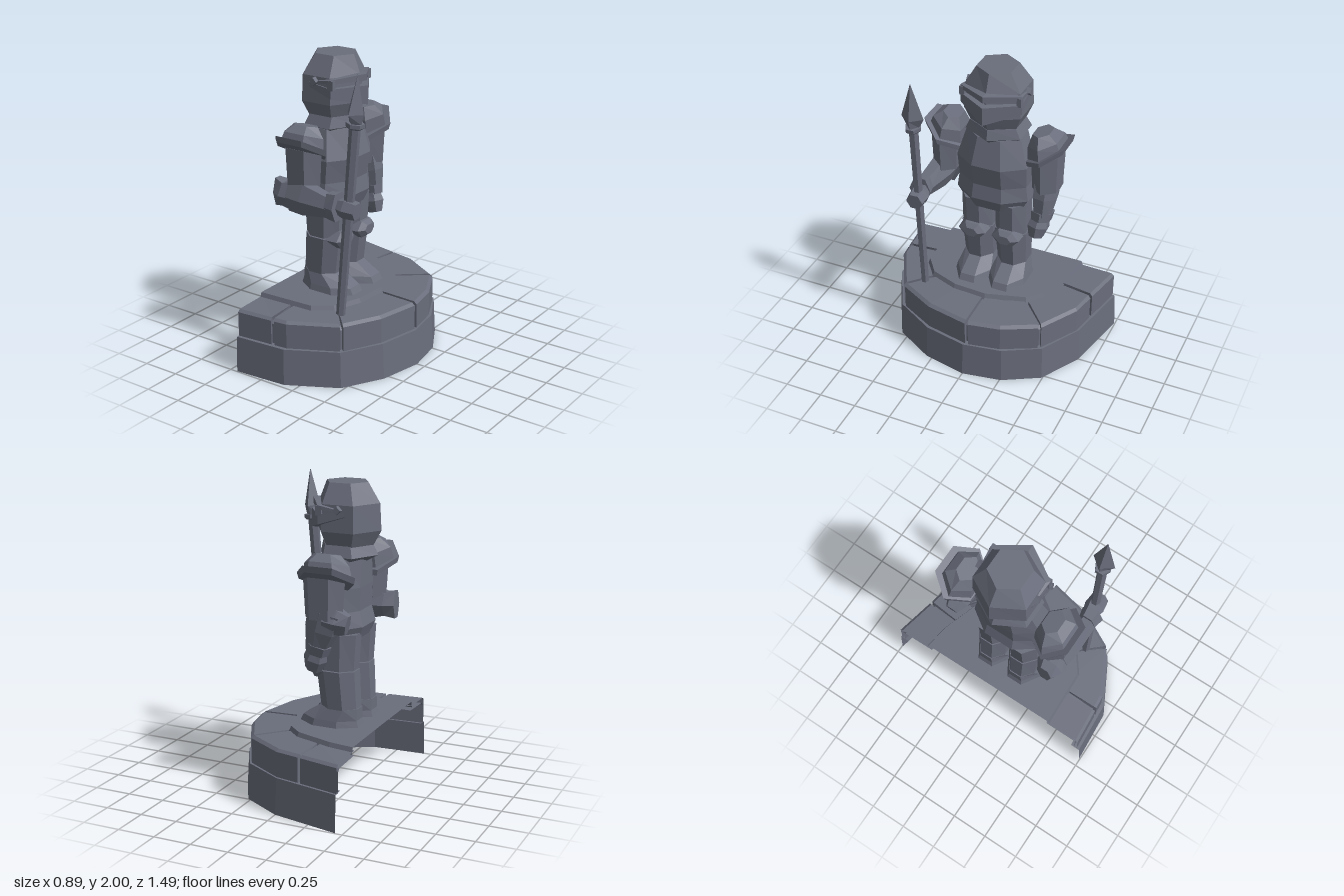
import * as THREE from 'three';

const stone = new THREE.MeshStandardMaterial({ color: 0x6a6e7c, flatShading: true, side: THREE.DoubleSide });
stone.name = 'slate stone';

// Flat faced skin over columns of points
function grid(cols) {
  const pos = [];
  const tri = (...t) => {
    const [a, b, c] = t;
    if (a.distanceTo(b) < 1e-5 || b.distanceTo(c) < 1e-5 || a.distanceTo(c) < 1e-5) return;
    t.forEach(p => pos.push(p.x, p.y, p.z));
  };
  for (let i = 0; i < cols.length - 1; i++) {
    for (let j = 0; j < cols[i].length - 1; j++) {
      const a = cols[i][j], b = cols[i][j + 1], c = cols[i + 1][j + 1], d = cols[i + 1][j];
      tri(a, b, c);
      tri(a, c, d);
    }
  }
  const g = new THREE.BufferGeometry();
  g.setAttribute('position', new THREE.Float32BufferAttribute(pos, 3));
  g.computeVertexNormals();
  return g;
}

const V = (x, y, z) => new THREE.Vector3(x, y, z);

function add(group, name, geometry) {
  const m = new THREE.Mesh(geometry, stone);
  m.name = name;
  group.add(m);
  return m;
}

// Unit polygon that fills -1..1 both ways
function polygon(n, turned) {
  const pts = [];
  for (let i = 0; i <= n; i++) {
    const a = ((i % n) + (turned ? 0.5 : 0)) * Math.PI * 2 / n;
    pts.push([Math.cos(a), Math.sin(a)]);
  }
  const mx = Math.max(...pts.map(p => Math.abs(p[0]))), mz = Math.max(...pts.map(p => Math.abs(p[1])));
  return pts.map(p => [p[0] / mx, p[1] / mz]);
}

// Upright solid through rings [x, y, z, half x, half z, tilt], lowest first
function loft(rings, n = 6, turned = false) {
  const first = rings[0], last = rings[rings.length - 1];
  return grid(polygon(n, turned).map(([c, s]) => [
    V(first[0], first[1], first[2]),
    ...rings.map(([x, y, z, rx, rz, tilt = 0]) => V(x + c * rx, y + s * rz * tilt, z + s * rz)),
    V(last[0], last[1], last[2])
  ]));
}

// Solid along the line a-b through rings [t, half width, half height]
function limb(a, b, rings, n = 6, turned = false) {
  const A = V(...a), B = V(...b), d = B.clone().sub(A).normalize();
  const u = d.clone().cross(V(0, 1, 0)).normalize();
  const v = u.clone().cross(d);
  const at = t => A.clone().lerp(B, t);
  return grid(polygon(n, turned).map(([c, s]) => [
    at(rings[0][0]),
    ...rings.map(([t, ru, rv = ru]) => at(t).addScaledVector(u, c * ru).addScaledVector(v, s * rv)),
    at(rings[rings.length - 1][0])
  ]));
}

// Half round base, open at the back and underneath
function buildBase() {
  const base = new THREE.Group();
  base.name = 'base';

  const foot = [[-.45, -.745], [0, -.65], [.27, -.495], [.4, -.26], [.443, 0], [.38, .29], [.23, .55], [-.09, .72], [-.45, .745]];
  const inset = (x, z, k) => [(x + .45) * k - .45, z * k];
  add(base, 'lowerTier', grid(foot.map(([x, z]) => {
    const [tx, tz] = inset(x, z, .985), [ix, iz] = inset(x, z, .9);
    return [V(x, 0, z), V(tx, .24, tz), V(ix, .245, iz)];
  })));

  // Outer and inner edge of the stone course
  const outer = [[-.45, -.72], [-.17, -.66], [0, -.625], [.26, -.47], [.375, -.24], [.415, -.02], [.35, .28], [.22, .525], [-.09, .685], [-.19, .695], [-.45, .715]];
  const inner = [[-.45, -.46], [-.2, -.44], [-.03, -.37], [.06, -.29], [.12, -.16], [.14, -.02], [.12, .18], [.06, .36], [-.06, .45], [-.2, .47], [-.45, .47]];
  const column = ([ox, oz], [ix, iz], sink) => {
    const [px, pz] = inset(ox, oz, 1 - sink), [qx, qz] = inset(ox, oz, .975 - sink);
    return [V(px, .235, pz), V(px, .405 - sink, pz), V(qx, .422 - sink, qz), V(ix, .43 - sink, iz)];
  };
  add(base, 'mortar', grid(outer.map((o, i) => column(o, inner[i], .03))));

  const joints = [0, 1, 3, 5, 7, 9, 10];
  const toward = (p, q, dist) => {
    const k = dist / Math.hypot(q[0] - p[0], q[1] - p[1]);
    return [p[0] + (q[0] - p[0]) * k, p[1] + (q[1] - p[1]) * k];
  };
  for (let j = 0; j < joints.length - 1; j++) {
    const from = joints[j], to = joints[j + 1];
    const o = outer.slice(from, to + 1), n = inner.slice(from, to + 1), e = o.length - 1;
    const gap = .011;
    const first = j > 0, last = j < joints.length - 2;
    [o, n].forEach(l => {
      const p = l[0], q = l[e];
      const p2 = toward(p, l[1], first ? gap : 0), q2 = toward(q, l[e - 1], last ? gap : 0);
      l[0] = p2;
      l[e] = q2;
    });
    const cols = o.map((p, i) => column(p, n[i], 0));
    if (first) cols.unshift(column(o[0], n[0], .03));
    if (last) cols.push(column(o[e], n[e], .03));
    add(base, 'courseStone', grid(cols));
  }

  // Raised slab under the feet
  const slab = [[-.45, -.5], [-.28, -.475], [-.02, -.39], [.08, -.3], [.155, -.03], [.14, .2], [.07, .39], [-.05, .48], [-.45, .495]];
  add(base, 'topSlab', grid(slab.map(([x, z]) => {
    const [tx, tz] = inset(x, z, .97);
    return [V(x, .415, z), V(tx, .458, tz), V(-.45, .46, 0)];
  })));
  return base;
}

function buildHead() {
  const head = new THREE.Group();
  head.name = 'head';
  add(head, 'gorget', loft([[-.18, 1.5, 0, .13, .13], [-.195, 1.545, 0, .195, .185], [-.185, 1.615, 0, .17, .155]]));
  add(head, 'helmet', loft([
    [-.19, 1.6, 0, .165, .15], [-.195, 1.7, 0, .215, .19],
    [-.195, 1.87, 0, .205, .185], [-.18, 1.995, 0, .14, .115]
  ]));
  // Visor bands on either side of the eye slit: [x, z, low, high]
  const band = (name, path) => add(head, name, grid(path.map(([x, z, lo, hi]) => {
    const ix = x - .05, iz = z * .82;
    return [V(ix, lo, iz), V(x, lo, z), V(x, hi, z), V(ix, hi, iz), V(ix, lo, iz)];
  })));
  band('visorBrow', [[-.2, .195, 1.83, 1.84], [-.07, .205, 1.84, 1.865], [.055, 0, 1.842, 1.885], [-.07, -.205, 1.84, 1.865], [-.2, -.195, 1.83, 1.84]]);
  band('visorPlate', [[-.24, .195, 1.8, 1.83], [-.07, .205, 1.745, 1.808], [.065, 0, 1.69, 1.812], [-.07, -.205, 1.745, 1.808], [-.24, -.195, 1.8, 1.83]]);
  for (const s of [1, -1]) {
    add(head, 'visorBolt', limb([-.2, 1.84, s * .15], [-.2, 1.84, s * .215], [[0, .032], [1, .026]], 4));
    // Short bar closing the end of the eye slit
    add(head, 'slitEnd', limb([-.075, 1.8, s * .19], [-.074, 1.86, s * .19], [[0, .016, .02], [1, .016, .02]], 4, true));
  }
  return head;
}

export function createModel() {
  const model = new THREE.Group();
  model.name = 'knightStatue';
  model.add(buildBase());

  const knight = new THREE.Group();
  knight.name = 'knight';
  knight.position.z = .02;
  model.add(knight);
  knight.add(buildHead());

  add(knight, 'torso', loft([
    [-.165, 1.02, 0, .14, .2], [-.165, 1.1, 0, .17, .245], [-.16, 1.2, 0, .15, .232],
    [-.15, 1.35, 0, .165, .238], [-.175, 1.54, 0, .14, .185]
  ], 8, true));

  for (const s of [1, -1]) {
    // Legs
    const z = s * .117;
    add(knight, 'foot', loft([[-.135, .45, z, .205, .13], [-.14, .5, z, .185, .12], [-.2, .575, z, .125, .1]], 8, true));
    add(knight, 'shin', loft([[-.2, .55, z, .12, .1], [-.175, .82, z, .13, .11]], 8, true));
    add(knight, 'thigh', loft([[-.175, .825, z, .125, .105], [-.175, 1.06, z, .14, .108]], 8, true));
    add(knight, 'kneeGuard', limb([-.1, .815, z], [0, .815, z], [[0, .1, .06], [.7, .095, .055], [1, .05, .03]]));

    // Shoulders and upper arms
    add(knight, 'upperArm', loft([[-.18, 1.2, s * .345, .125, .08], [-.18, 1.43, s * .345, .14, .088, s * .4]]));
    add(knight, 'shoulderBand', loft([[-.195, 1.43, s * .345, .185, .12, s * .6], [-.195, 1.47, s * .35, .195, .125, s * .6]]));
    add(knight, 'shoulderPlate', loft([[-.195, 1.46, s * .335, .165, .105, s * .5], [-.19, 1.53, s * .325, .15, .095, s * .35], [-.185, 1.59, s * .305, .09, .055, s * .2]]));
  }

  // Left arm, held forward around the spear
  add(knight, 'leftElbowGuard', limb([-.37, 1.145, .365], [-.2, 1.145, .365], [[0, .05, .09], [.4, .09, .075], [1, .09, .1]]));
  add(knight, 'leftForearm', limb([-.24, 1.15, .375], [.09, 1.14, .41], [[0, .08, .1], [.35, .08, .1], [1, .055, .062]]));
  add(knight, 'leftCuff', limb([.06, 1.15, .405], [.13, 1.15, .405], [[0, .06, .08], [1, .075, .088]]));
  add(knight, 'leftHand', limb([.12, 1.15, .39], [.255, 1.14, .385], [[0, .05, .045], [.4, .065, .058], [1, .055, .05]]));

  // Right arm, hanging
  add(knight, 'rightElbowGuard', limb([-.34, 1.17, -.345], [-.2, 1.2, -.345], [[0, .04, .06], [.5, .075, .08], [1, .085, .09]]));
  add(knight, 'rightForearm', limb([-.2, 1.25, -.345], [-.13, 1.0, -.335], [[0, .085, .11], [.5, .08, .1], [1, .058, .065]]));
  add(knight, 'rightCuff', limb([-.14, 1.03, -.335], [-.125, .97, -.33], [[0, .07, .08], [1, .062, .07]]));
  add(knight, 'rightHand', limb([-.13, 1.0, -.325], [-.09, .855, -.31], [[0, .05, .055], [.5, .07, .07], [1, .045, .05]]));

  // Spear
  const spear = new THREE.Group();
  spear.name = 'spear';
  model.add(spear);
  add(spear, 'shaft', limb([.13, .43, .41], [.235, 1.67, .4], [[0, .026], [1, .032]]));
  add(spear, 'collar', limb([.234, 1.66, .4], [.237, 1.695, .4], [[0, .042], [.3, .052], [1, .052]]));
  add(spear, 'spearHead', limb([.237, 1.69, .4], [.257, 1.99, .4], [[0, .04, .045], [.22, .075, .056], [1, .002]], 4));
  return model;
}
